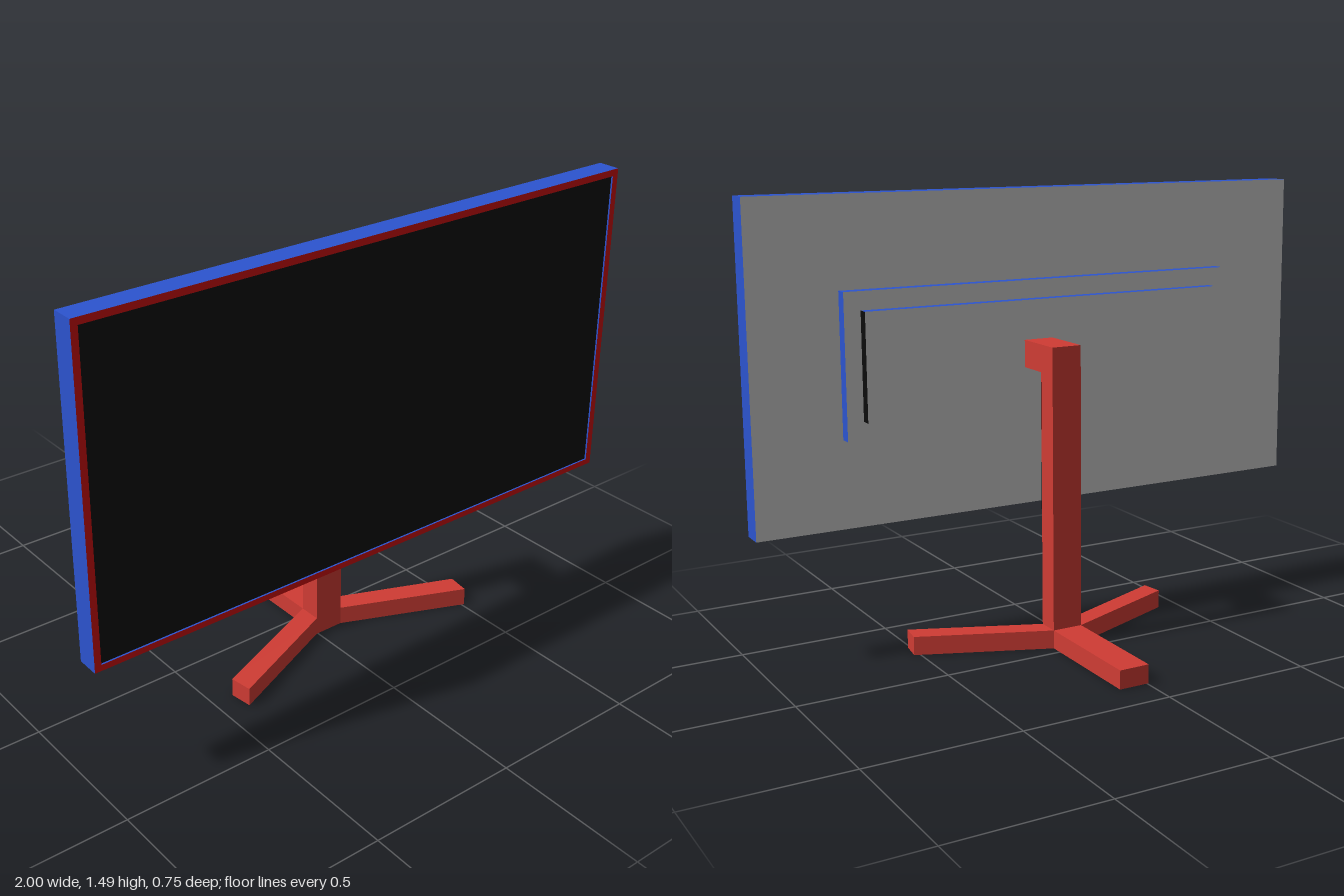
import * as THREE from 'three';

const mat = (name, color) => {
  const m = new THREE.MeshStandardMaterial({ color });
  m.name = name;
  return m;
};

export function createModel() {
  const group = new THREE.Group();
  const red = mat('stand red', 0xd03c34);
  const bezelRed = mat('bezel red', 0xcc0a0a);
  const blue = mat('edge blue', 0x2c54d0);
  const grey = mat('back grey', 0xc8c8c8);
  const black = mat('screen black', 0x0c0c0c);

  const add = (name, geometry, material) => {
    const mesh = new THREE.Mesh(geometry, material);
    mesh.name = name;
    group.add(mesh);
  };
  // Box given by its limits; material order is +x, -x, +y, -y, +z, -z
  const box = (name, [x0, x1], [y0, y1], [z0, z1], material) => {
    const g = new THREE.BoxGeometry(x1 - x0, y1 - y0, z1 - z0);
    g.translate((x0 + x1) / 2, (y0 + y1) / 2, (z0 + z1) / 2);
    add(name, g, material);
  };
  const rect = (path, x0, x1, y0, y1) => {
    path.moveTo(x0, y0).lineTo(x1, y0).lineTo(x1, y1).lineTo(x0, y1).closePath();
    return path;
  };

  // Display housing with two stepped plates behind it
  const edges = [blue, blue, blue, blue];
  box('displayBody', [-1, 1], [0.43, 1.485], [0.3, 0.367], [...edges, black, grey]);
  box('outerBackPlate', [-0.705, 0.705], [0.72, 1.19], [0.26, 0.3], [...edges, grey, grey]);
  box('innerBackPlate', [-0.65, 0.65], [0.78, 1.13], [0.225, 0.26], [black, blue, blue, blue, grey, grey]);

  // Raised bezel around the screen
  const frame = rect(new THREE.Shape(), -1, 1, 0.43, 1.485);
  frame.holes.push(rect(new THREE.Path(), -0.978, 0.978, 0.45, 1.463));
  const bezel = new THREE.ExtrudeGeometry(frame, { depth: 0.008, bevelEnabled: false });
  add('bezel', bezel.translate(0, 0, 0.367), [bezelRed, blue]);
  box('screen', [-0.978, 0.978], [0.45, 1.463], [0.367, 0.369], black);

  // Upright post and the arm that carries the display
  const width = [-0.005, 0.098], cx = 0.0465;
  box('post', width, [0.06, 1], [0.04, 0.115], red);
  box('arm', width, [0.91, 1], [0.115, 0.225], [red, red, red, black, red, red]);
  box('postFrontPanel', [0.03, 0.098], [0.36, 0.91], [0.115, 0.117], black);

  // Three-legged base, half outline mirrored about the post axis
  const half = [[0.0515, -0.375], [0.0515, 0.04], [0.473, 0.215], [0.462, 0.29], [0.0515, 0.115]];
  const outline = [...half, ...half.map(([x, z]) => [-x, z]).reverse()];
  const base = new THREE.ExtrudeGeometry(
    new THREE.Shape(outline.map(([x, z]) => new THREE.Vector2(x + cx, z))),
    { depth: 0.062, bevelEnabled: false });
  base.rotateX(Math.PI / 2).translate(0, 0.062, 0);
  add('base', base, red);

  return group;
}
